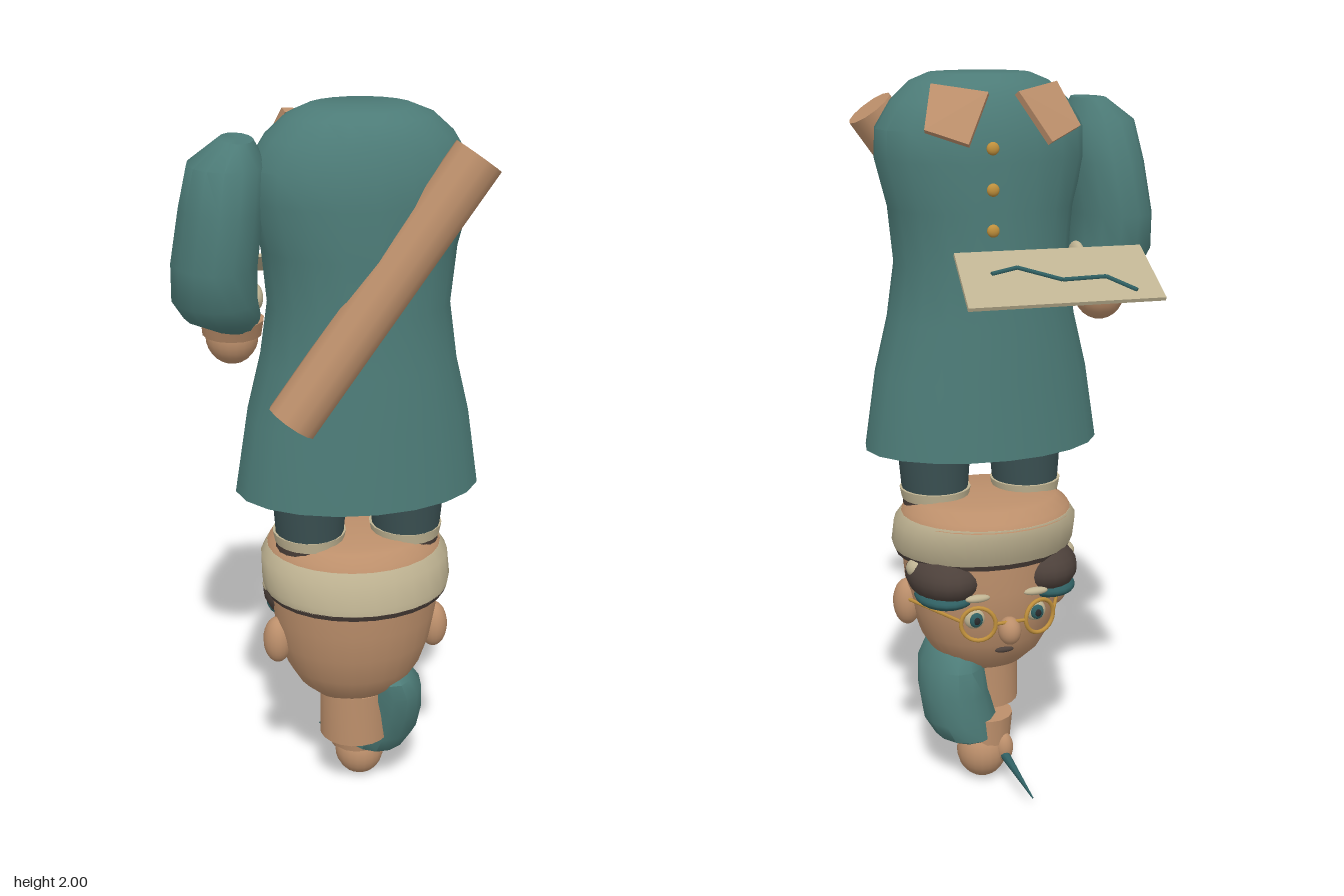
import * as THREE from 'three';
import { toCreasedNormals } from 'three/addons/utils/BufferGeometryUtils.js';
import { ConvexGeometry } from 'three/addons/geometries/ConvexGeometry.js';

const CX = 0.073; // middle of the body

function mat(name, color) {
  const m = new THREE.MeshStandardMaterial({ color });
  m.name = name;
  return m;
}

// Closed solid through level elliptical rings [x, y, z, rx, rz], bottom to top
function loft(rings, seg = 24, crease = 0.6) {
  const pos = [], idx = [];
  for (const [x, y, z, rx, rz] of rings) {
    for (let j = 0; j < seg; j++) {
      const a = (j / seg) * Math.PI * 2;
      pos.push(x + rx * Math.cos(a), y, z - rz * Math.sin(a));
    }
  }
  for (let i = 0; i < rings.length - 1; i++) {
    for (let j = 0; j < seg; j++) {
      const a = i * seg + j, b = i * seg + (j + 1) % seg;
      idx.push(a, b, a + seg, b, b + seg, a + seg);
    }
  }
  const last = rings.length - 1, base = pos.length / 3;
  pos.push(...rings[0].slice(0, 3), ...rings[last].slice(0, 3));
  for (let j = 0; j < seg; j++) {
    const k = (j + 1) % seg;
    idx.push(base, k, j, base + 1, last * seg + j, last * seg + k);
  }
  const g = new THREE.BufferGeometry();
  g.setAttribute('position', new THREE.Float32BufferAttribute(pos, 3));
  g.setIndex(idx);
  return toCreasedNormals(g, crease);
}

// Thin plate over corner points
function plate(corners, t) {
  const p = corners.map(c => new THREE.Vector3(...c));
  const n = p[1].clone().sub(p[0]).cross(p[2].clone().sub(p[0])).normalize().multiplyScalar(t / 2);
  return new ConvexGeometry(p.flatMap(v => [v.clone().add(n), v.clone().sub(n)]));
}

// Straight rod from a to b
function rod(a, b, ra, rb = ra, seg = 12) {
  const A = new THREE.Vector3(...a), B = new THREE.Vector3(...b), d = B.clone().sub(A);
  const g = new THREE.CylinderGeometry(rb, ra, d.length(), seg);
  g.applyQuaternion(new THREE.Quaternion().setFromUnitVectors(new THREE.Vector3(0, 1, 0), d.normalize()));
  return g.translate(...A.add(B).multiplyScalar(0.5).toArray());
}

function blob(x, y, z, rx, ry = rx, rz = rx) {
  return new THREE.SphereGeometry(1, 20, 14).scale(rx, ry, rz).translate(x, y, z);
}

export function createModel() {
  const root = new THREE.Group();
  const teal = mat('coat teal', 0x4d7c78), tan = mat('tan', 0xbc8f6b), cream = mat('cream', 0xbfb392);
  const brown = mat('dark brown', 0x4c403a), slate = mat('trouser slate', 0x3a5052);
  const gold = mat('gold', 0xc0903c), ink = mat('deep teal', 0x2f5f62), black = mat('dark', 0x2a2a2c);
  const add = (name, geo, m) => {
    const mesh = new THREE.Mesh(geo, m);
    mesh.name = name;
    root.add(mesh);
    return mesh;
  };

  // Coat
  add('coat', loft([
    [CX, 0.99, 0.113, 0.333, 0.232], [CX, 1.2, 0.112, 0.3, 0.225], [CX, 1.35, 0.11, 0.262, 0.219],
    [CX, 1.5, 0.108, 0.24, 0.212], [CX, 1.65, 0.108, 0.255, 0.215], [CX, 1.78, 0.108, 0.29, 0.215],
    [CX, 1.86, 0.108, 0.287, 0.21], [CX, 1.93, 0.108, 0.243, 0.185], [CX, 1.98, 0.11, 0.187, 0.158],
    [CX, 2.0, 0.11, 0.137, 0.128]], 20), teal);
  for (const y of [1.82, 1.715, 1.61, 1.51]) add('button', blob(0.11, y, -0.107, 0.017, 0.017, 0.011), gold);

  // Collar flaps
  for (const s of [-1, 1]) {
    add('collarFlap', plate([[0.17, 1.975, 0], [0.038, 1.955, -0.07], [0.11, 1.83, -0.125], [0.21, 1.865, -0.07]]
      .map(([x, y, z]) => [0.07 + s * x, y, z]), 0.018), tan);
  }

  // Rolled case on the back
  add('rolledCase', rod([-0.145, 1.25, 0.308], [0.325, 1.9, 0.296], 0.068), tan);

  // Raised sleeve and hand
  add('upperSleeve', loft([
    [-0.245, 1.43, 0.07, 0.05, 0.06], [-0.28, 1.47, 0.08, 0.1, 0.11], [-0.3, 1.52, 0.09, 0.111, 0.135],
    [-0.3, 1.62, 0.095, 0.111, 0.155], [-0.28, 1.76, 0.1, 0.108, 0.145], [-0.265, 1.87, 0.11, 0.1, 0.12],
    [-0.24, 1.93, 0.11, 0.042, 0.077]], 14, 0.8), teal);
  add('upperHand', blob(-0.25, 1.405, 0.04, 0.07, 0.077, 0.075), tan);
  add('upperThumb', blob(-0.205, 1.43, -0.02, 0.027, 0.045, 0.027), tan);
  add('upperCuff', loft([[-0.25, 1.41, 0.045, 0.078, 0.083], [-0.25, 1.455, 0.055, 0.083, 0.093]], 14), tan);
  add('upperCuffLining', blob(-0.19, 1.51, 0.06, 0.02, 0.035, 0.04), cream);
  add('cuffFlap', plate([[-0.27, 1.47, -0.065], [-0.18, 1.43, -0.04], [-0.18, 1.46, 0.0], [-0.25, 1.5, -0.02]], 0.015), tan);

  // Floating map with a route line
  const mapY = z => 1.56 + (z + 0.155) * 0.455;
  add('map', plate([[-0.257, -0.38], [0.267, -0.37], [0.232, -0.15], [-0.28, -0.16]].map(([x, z]) => [x, mapY(z), z]), 0.01), cream);
  const route = [[-0.19, -0.35], [-0.13, -0.288], [-0.01, -0.29], [0.09, -0.231], [0.165, -0.25]]
    .map(([x, z]) => [x, mapY(z) + 0.008, z]);
  for (let i = 1; i < route.length; i++) add('routeLine', rod(route[i - 1], route[i], 0.006, 0.006, 6), ink);

  // Legs with sock cuffs and shoes
  for (const x of [-0.062, 0.208]) {
    add('trouserLeg', loft([[x, 0.85, 0.125, 0.092, 0.098], [x, 1.0, 0.128, 0.104, 0.11]], 20), slate);
    add('sockCuff', loft([[x, 0.835, 0.122, 0.094, 0.1], [x, 0.865, 0.122, 0.1, 0.104]], 20), cream);
    add('shoe', loft([[x, 0.78, 0.115, 0.09, 0.095], [x, 0.838, 0.12, 0.092, 0.098]], 20), brown);
  }

  // Cap
  add('capCrown', loft([
    [CX, 0.795, 0.078, 0.245, 0.226], [CX, 0.815, 0.078, 0.235, 0.215],
    [CX, 0.838, 0.085, 0.205, 0.18], [CX, 0.846, 0.09, 0.17, 0.15]], 28, 0.9), tan);
  add('capBand', loft([
    [CX, 0.69, 0.112, 0.256, 0.228], [CX, 0.71, 0.107, 0.262, 0.232],
    [CX, 0.775, 0.085, 0.26, 0.234], [CX, 0.802, 0.078, 0.242, 0.224]], 28, 0.9), cream);
  add('capTrim', loft([[CX, 0.676, 0.112, 0.25, 0.222], [CX, 0.692, 0.112, 0.256, 0.229]], 28), brown);

  // Head and neck
  add('head', loft([
    [CX, 0.325, 0.09, 0.06, 0.06], [CX, 0.345, 0.088, 0.112, 0.1], [CX, 0.385, 0.088, 0.157, 0.14],
    [CX, 0.44, 0.09, 0.19, 0.17], [CX, 0.52, 0.092, 0.216, 0.193], [CX, 0.6, 0.096, 0.229, 0.203],
    [CX, 0.68, 0.1, 0.235, 0.206]], 28, 1), tan);
  add('neck', loft([[CX, 0.205, 0.11, 0.1, 0.097], [CX, 0.36, 0.11, 0.1, 0.097]], 20), tan);

  // Face and hair, mirrored
  for (const s of [-1, 1]) {
    const X = d => CX + s * d;
    add('ear', blob(X(0.225), 0.53, 0.118, 0.04, 0.068, 0.045), tan);
    add('sideHair', blob(X(0.14), 0.635, 0.03, 0.107, 0.077, 0.145), brown);
    add('templeBand', blob(X(0.15), 0.583, 0.0, 0.083, 0.03, 0.105), ink);
    add('hairTuft', blob(X(0.215), 0.66, 0.03, 0.035, 0.03, 0.035), cream);
    add('eyeWhite', blob(X(0.09), 0.535, -0.085, 0.03, 0.03, 0.02), cream);
    add('iris', blob(X(0.09), 0.535, -0.1, 0.019, 0.021, 0.011), ink);
    add('pupil', blob(X(0.09), 0.535, -0.109, 0.009, 0.011, 0.005), black);
    const rim = add('glassesRim', new THREE.TorusGeometry(0.048, 0.006, 8, 24), gold);
    rim.position.set(X(0.09), 0.53, -0.118);
    rim.rotation.y = s * -0.3;
    add('glassesArm', rod([X(0.137), 0.54, -0.105], [X(0.235), 0.55, 0.09], 0.005, 0.005, 6), gold);
    add('eyebrow', blob(X(0.085), 0.598, -0.1, 0.036, 0.011, 0.014), cream);
  }
  add('glassesBridge', rod([CX - 0.044, 0.53, -0.132], [CX + 0.044, 0.53, -0.132], 0.005, 0.005, 6), gold);
  add('nose', blob(CX, 0.5, -0.122, 0.032, 0.04, 0.036), tan);
  add('mouth', blob(CX, 0.425, -0.077, 0.028, 0.008, 0.008), brown);

  // Lowered sleeve, hand and pencil
  add('lowerSleeve', loft([
    [0.15, 0.12, 0.045, 0.05, 0.07], [0.15, 0.14, 0.045, 0.09, 0.105], [0.165, 0.19, 0.055, 0.105, 0.117],
    [0.178, 0.27, 0.075, 0.098, 0.128], [0.178, 0.35, 0.09, 0.09, 0.138], [0.165, 0.4, 0.11, 0.07, 0.118],
    [0.165, 0.425, 0.12, 0.045, 0.07]], 14, 0.8), teal);
  add('lowerCuff', loft([[0.098, 0.115, 0.025, 0.072, 0.075], [0.092, 0.195, 0.03, 0.075, 0.085]], 14), tan);
  add('lowerHand', blob(0.11, 0.082, 0.018, 0.072, 0.08, 0.076), tan);
  add('lowerThumb', blob(0.06, 0.1, -0.03, 0.028, 0.045, 0.03), tan);
  add('pencil', rod([0.065, 0.09, -0.03], [0.04, 0.027, -0.22], 0.015, 0.002, 8), ink);

  return root;
}
